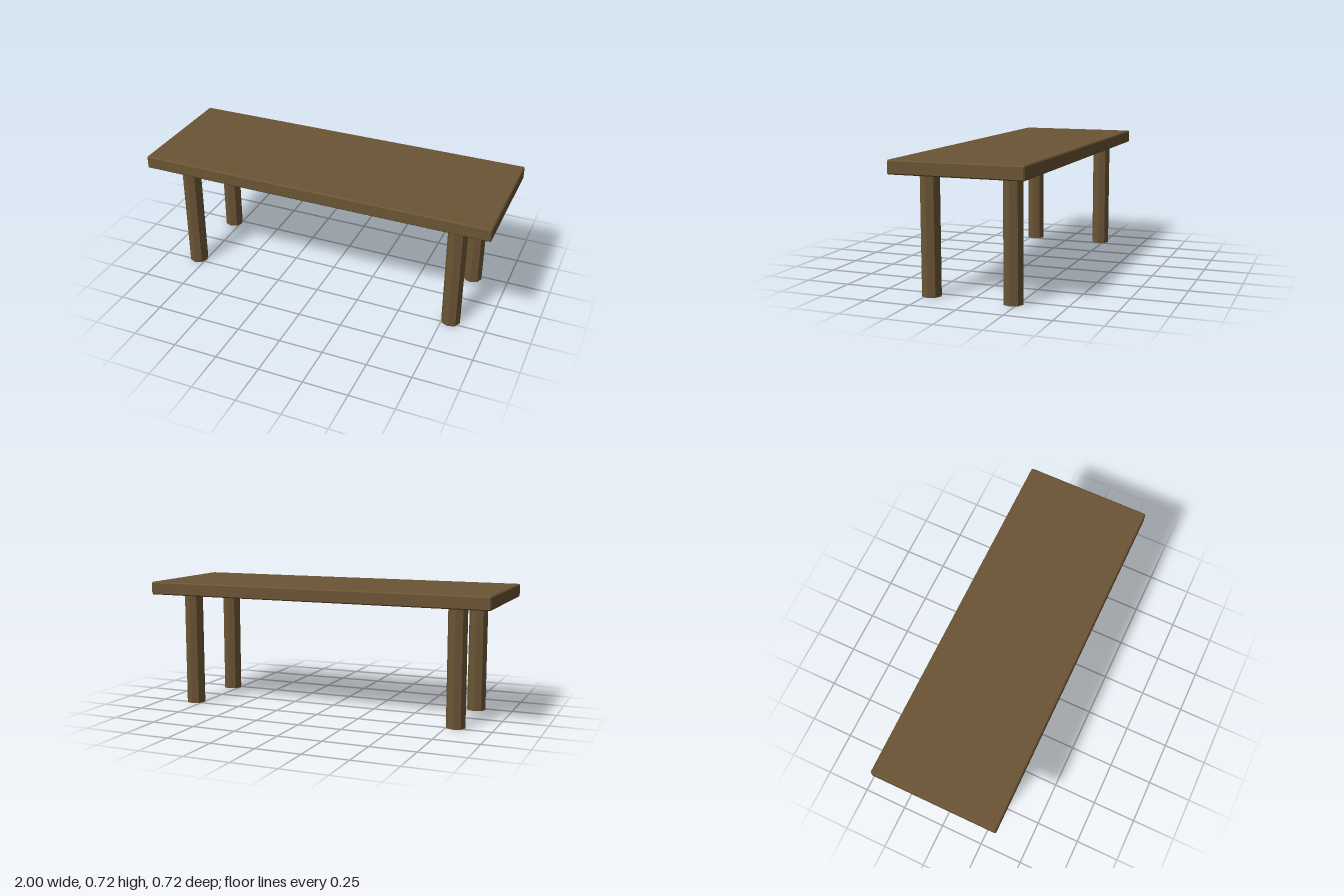
import * as THREE from 'three';
import { ConvexGeometry } from 'three/addons/geometries/ConvexGeometry.js';

// Box with flat 45 degree chamfers on every edge
function chamferedBox(w, h, d, c) {
  const points = [];
  for (const x of [-w / 2, w / 2])
    for (const y of [-h / 2, h / 2])
      for (const z of [-d / 2, d / 2])
        for (const axis of [0, 1, 2]) {
          const p = [x, y, z].map((v, i) => (i === axis ? v : v - Math.sign(v) * c));
          points.push(new THREE.Vector3(...p));
        }
  return new ConvexGeometry(points);
}

export function createModel() {
  const group = new THREE.Group();
  group.name = 'table';
  const wood = new THREE.MeshStandardMaterial({ color: 0x6b5535, flatShading: true });

  // Table top
  const bottom = 0.648, thickness = 0.073;
  const top = new THREE.Mesh(chamferedBox(2, thickness, 0.717, 0.006), wood);
  top.name = 'tableTop';
  top.position.y = bottom + thickness / 2;
  group.add(top);

  // Four octagonal legs
  const legGeometry = new THREE.CylinderGeometry(0.0535, 0.0535, bottom, 8);
  for (const [side, x] of [['Left', 0.797], ['Right', -0.797]])
    for (const [end, z] of [['front', 0.225], ['back', -0.225]]) {
      const leg = new THREE.Mesh(legGeometry, wood);
      leg.name = `${end}${side}Leg`;
      leg.position.set(x, bottom / 2, z);
      group.add(leg);
    }
  return group;
}
